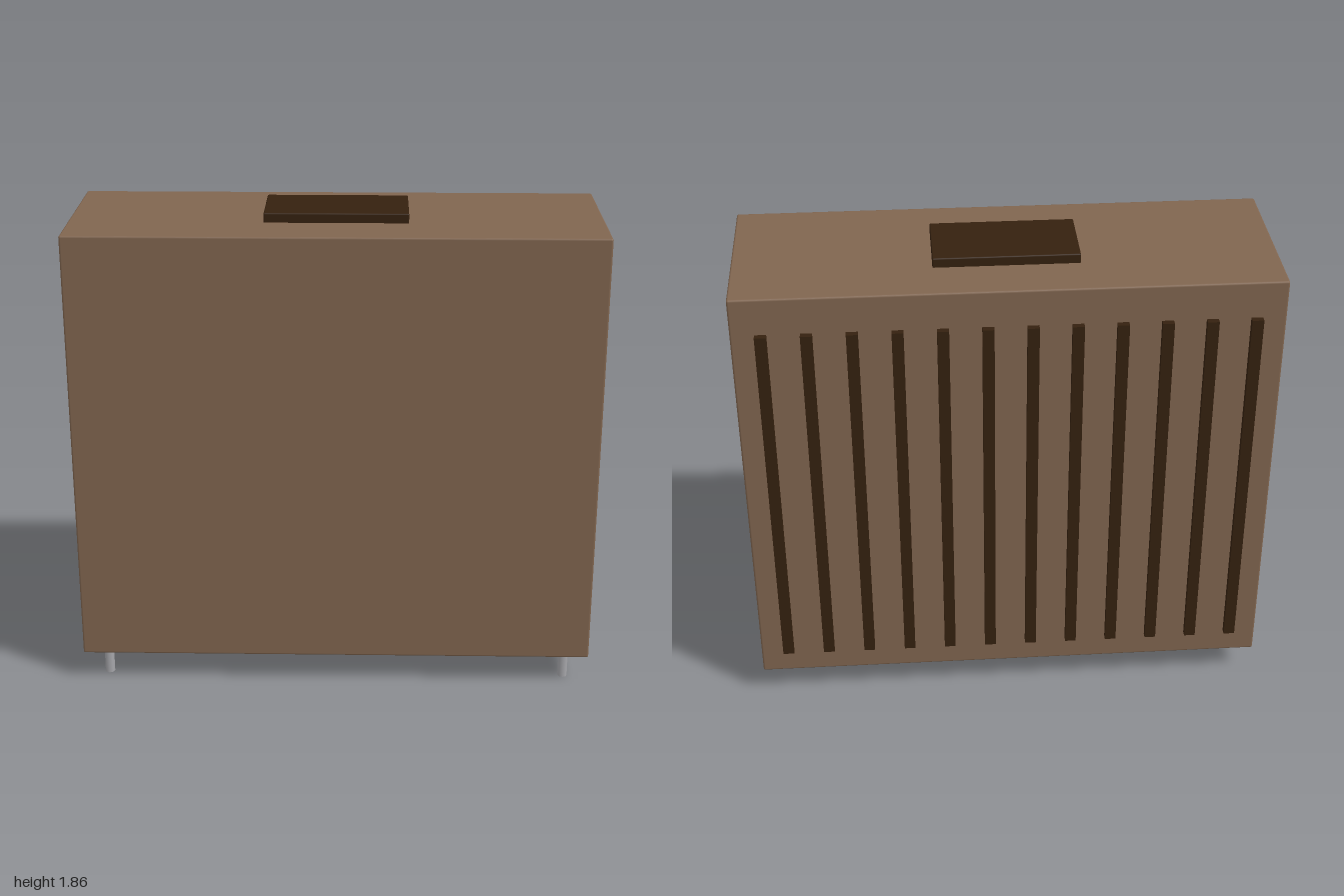
import * as THREE from 'three';
import { RoundedBoxGeometry } from 'three/addons/geometries/RoundedBoxGeometry.js';

function material(name, color) {
  const m = new THREE.MeshStandardMaterial({ color });
  m.name = name;
  return m;
}

export function createModel() {
  const model = new THREE.Group();
  const brown = material('brown casing', 0x80654f);
  const dark = material('dark brown trim', 0x35210f);
  const grey = material('grey metal', 0xa6a6aa);

  const add = (name, geometry, mat, x, y, z) => {
    const mesh = new THREE.Mesh(geometry, mat);
    mesh.name = name;
    mesh.position.set(x, y, z);
    model.add(mesh);
  };

  // Casing with finely eased edges
  add('casing', new RoundedBoxGeometry(2, 1.705, 0.686, 2, 0.008), brown, 0, 0.9675, 0.012);

  // Raised plate on the top
  add('topPlate', new RoundedBoxGeometry(0.54, 0.045, 0.288, 2, 0.005), dark, 0, 1.8335, 0.008);

  // Row of upright slats on the back
  const slat = new THREE.BoxGeometry(0.043, 1.46, 0.035);
  for (let i = 0; i < 12; i++) {
    add('backSlat', slat, dark, (i - 5.5) * 0.162, 0.948, -0.3375);
  }

  // Two short feet under the front edge
  const foot = new THREE.CylinderGeometry(0.019, 0.019, 0.12, 8);
  for (const side of [-1, 1]) {
    add(side > 0 ? 'leftFoot' : 'rightFoot', foot, grey, side * 0.908, 0.06, 0.287);
  }
  return model;
}
